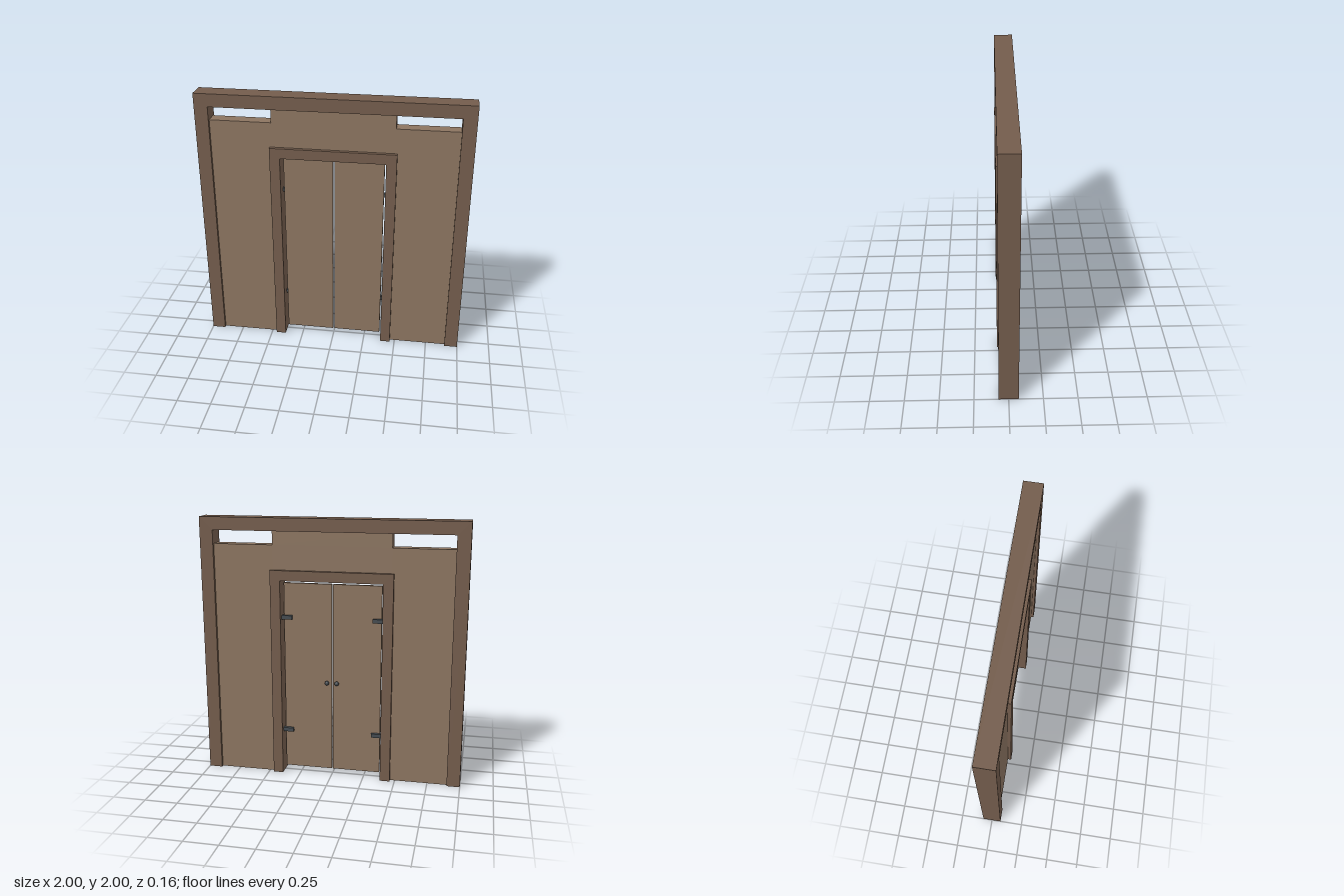
import * as THREE from 'three';

const frameMat = new THREE.MeshStandardMaterial({ color: 0x735c4c });
const panelMat = new THREE.MeshStandardMaterial({ color: 0x8b7460 });
const metalMat = new THREE.MeshStandardMaterial({ color: 0x454b50 });

// Flat outline extruded symmetrically about z = 0
function slab(name, points, depth, material) {
  const shape = new THREE.Shape(points.map(([x, y]) => new THREE.Vector2(x, y)));
  const geo = new THREE.ExtrudeGeometry(shape, { depth, bevelEnabled: false });
  geo.translate(0, 0, -depth / 2);
  const mesh = new THREE.Mesh(geo, material);
  mesh.name = name;
  return mesh;
}

// Mirror a right-hand half outline to get the full closed outline
const mirrored = (half) => [...half, ...half.map(([x, y]) => [-x, y]).reverse()];

// Upside-down U: two posts joined by a lintel
const portal = (outer, top, inner, under) =>
  mirrored([[inner, under], [inner, 0], [outer, 0], [outer, top]]);

function box(name, w, h, d, x, y, z, material) {
  const mesh = new THREE.Mesh(new THREE.BoxGeometry(w, h, d), material);
  mesh.name = name;
  mesh.position.set(x, y, z);
  return mesh;
}

export function createModel() {
  const model = new THREE.Group();
  model.name = 'doubleDoorWall';

  // Heavy outer frame and door casing
  model.add(slab('outerFrame', portal(1, 2, 0.9, 1.903), 0.144, frameMat));
  model.add(slab('doorCasing', portal(0.463, 1.615, 0.387, 1.538), 0.156, frameMat));

  // Wall panel: open around the door, stepped at the top to leave two vents
  model.add(slab('wallPanel', mirrored([
    [0.44, 1.59], [0.44, 0], [0.9, 0], [0.9, 1.8], [0.447, 1.8], [0.447, 1.903],
  ]), 0.1, panelMat));

  for (const side of [-1, 1]) {
    const door = new THREE.Group();
    door.name = side > 0 ? 'leftDoor' : 'rightDoor';

    door.add(box('doorLeaf', 0.368, 1.475, 0.026, side * 0.189, 0.7775, 0, panelMat));

    // Hinges on the back of the leaf, reaching the casing
    for (const y of [0.35, 1.253])
      door.add(box('hinge', 0.08, 0.03, 0.028, side * 0.348, y, -0.024, metalMat));

    // Round knob on a short stem
    const stem = new THREE.Mesh(new THREE.CylinderGeometry(0.008, 0.008, 0.025, 12), metalMat);
    stem.name = 'knobStem';
    stem.rotation.x = Math.PI / 2;
    stem.position.set(side * 0.038, 0.753, -0.023);
    const knob = new THREE.Mesh(new THREE.SphereGeometry(0.017, 16, 12), metalMat);
    knob.name = 'knob';
    knob.position.set(side * 0.038, 0.753, -0.038);
    door.add(stem, knob);

    model.add(door);
  }
  return model;
}
